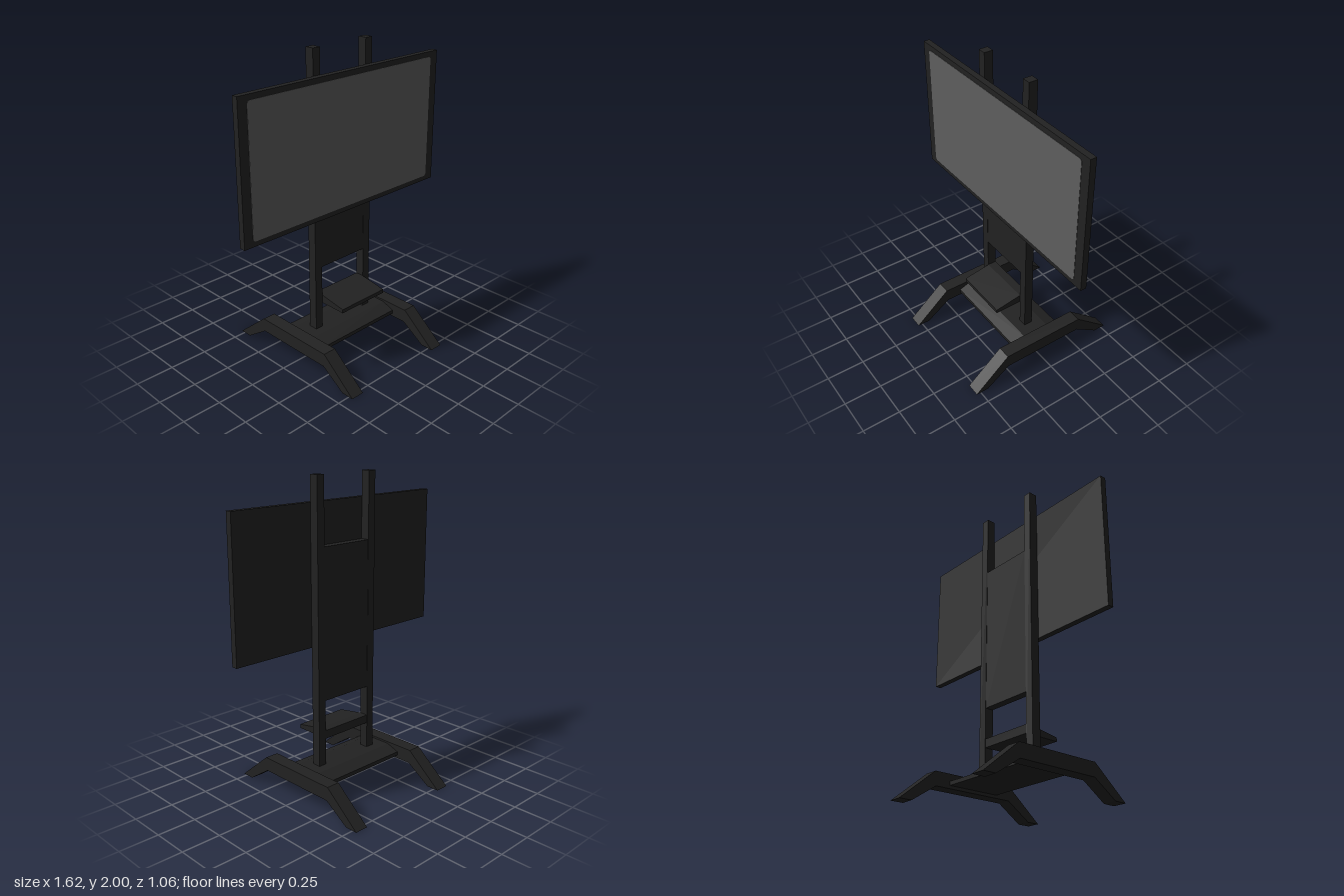
import * as THREE from 'three';

export function createModel() {
  const group = new THREE.Group();
  const black = new THREE.MeshStandardMaterial({ color: 0x222222 });
  black.name = 'matte black';
  const grey = new THREE.MeshStandardMaterial({ color: 0x5e5e5e });
  grey.name = 'display grey';

  const add = (name, geometry, material = black) => {
    const mesh = new THREE.Mesh(geometry, material);
    mesh.name = name;
    group.add(mesh);
    return mesh;
  };

  // Box given by its limits on each axis
  const box = (name, [x0, x1], [y0, y1], [z0, z1]) =>
    add(name, new THREE.BoxGeometry(x1 - x0, y1 - y0, z1 - z0))
      .position.set((x0 + x1) / 2, (y0 + y1) / 2, (z0 + z1) / 2);

  // Side profile of [z, y] points, extruded across x
  const profile = (name, points, width, x = 0) => {
    const shape = new THREE.Shape(points.map(([z, y]) => new THREE.Vector2(z, y)));
    const geometry = new THREE.ExtrudeGeometry(shape, { depth: width, bevelEnabled: false });
    geometry.translate(0, 0, -width / 2).rotateY(-Math.PI / 2);
    add(name, geometry).position.x = x;
  };

  // Splayed feet and upright posts, mirrored
  for (const [side, s] of [['left', 1], ['right', -1]]) {
    profile(side + 'Foot', [
      [0.53, 0], [0.288, 0.2], [-0.288, 0.2], [-0.53, 0],
      [-0.445, 0], [-0.28, 0.11], [0.28, 0.11], [0.445, 0],
    ], 0.09, s * 0.37);
    const xs = s > 0 ? [0.185, 0.24] : [-0.24, -0.185];
    box(side + 'Post', xs, [0.18, 2], [-0.029, 0.03]);
  }

  // Base plate with sloped front and back edges
  profile('basePlate', [
    [0.18, 0.13], [0.18, 0.155], [0.092, 0.187], [-0.092, 0.187], [-0.18, 0.155], [-0.18, 0.13],
  ], 0.65);

  // Wedge shelf and the panel between the posts
  profile('shelf', [
    [0.215, 0.36], [0.215, 0.385], [0.03, 0.415], [-0.028, 0.415], [-0.028, 0.36],
  ], 0.37);
  box('backPanel', [-0.185, 0.185], [0.615, 1.58], [-0.027, 0.028]);

  // Screen housing
  box('screenHousing', [-0.808, 0.808], [0.96, 1.84], [0.03, 0.07]);

  // Display face with rounded corners
  const w = 0.745, y0 = 0.992, y1 = 1.806, r = 0.02;
  const face = new THREE.Shape();
  face.absarc(w - r, y1 - r, r, 0, Math.PI / 2);
  face.absarc(-w + r, y1 - r, r, Math.PI / 2, Math.PI);
  face.absarc(-w + r, y0 + r, r, Math.PI, Math.PI * 1.5);
  face.absarc(w - r, y0 + r, r, Math.PI * 1.5, Math.PI * 2);
  add('display', new THREE.ExtrudeGeometry(face, { depth: 0.003, bevelEnabled: false, curveSegments: 6 }), grey)
    .position.z = 0.069;

  return group;
}
